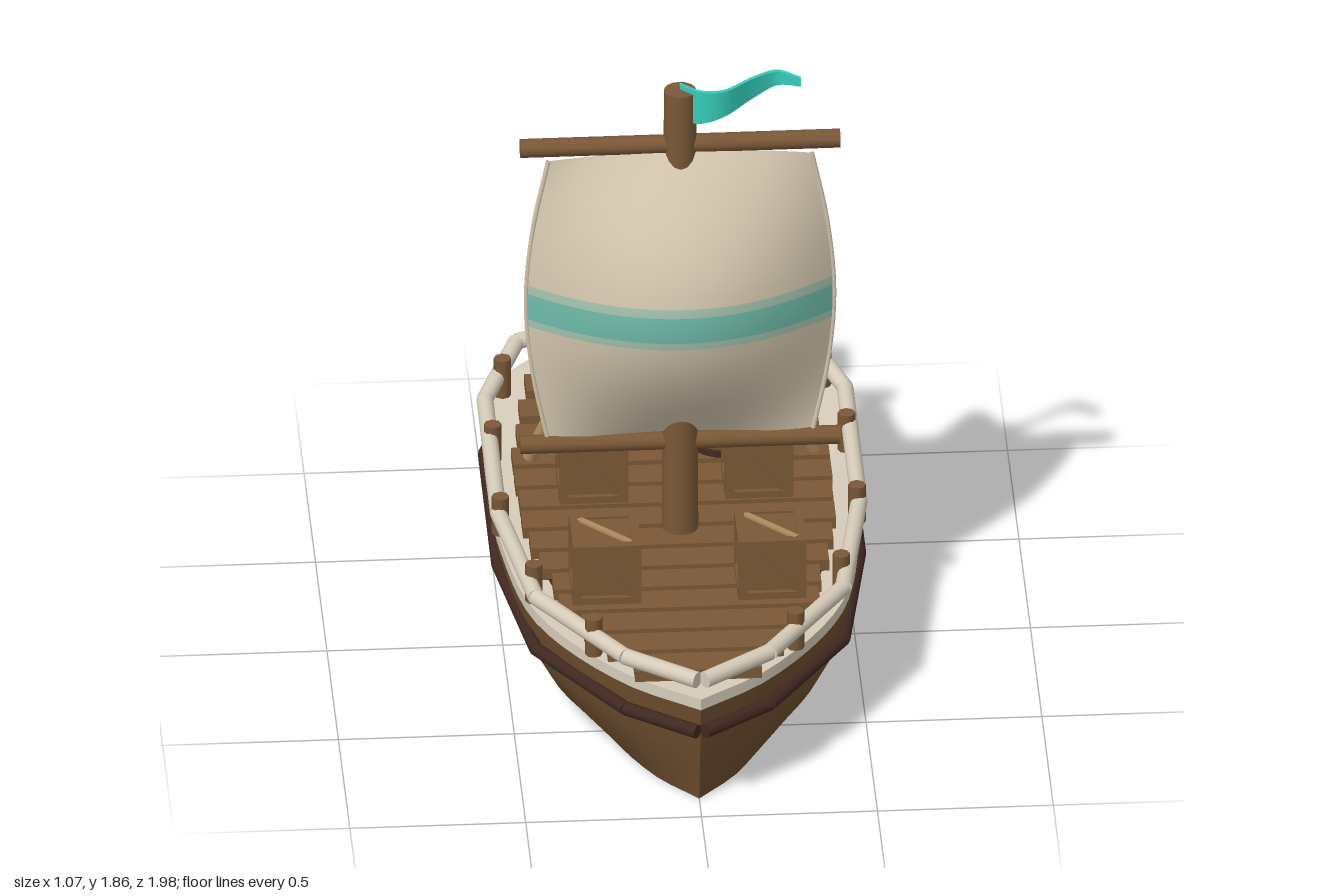
import * as THREE from 'three';
import { toCreasedNormals } from 'three/addons/utils/BufferGeometryUtils.js';

const mat = (name, color) => Object.assign(new THREE.MeshStandardMaterial({ color }), { name });
const V = (x, y, z) => new THREE.Vector3(x, y, z);

export function createModel() {
  const hullWood = mat('hull wood', 0x6e4e2e);
  const wood = mat('wood', 0x7a5836);
  const dark = mat('dark wood', 0x402820);
  const cream = mat('cream paint', 0xd6ccba);
  const cloth = mat('sail cloth', 0xd6c8b0);
  const paleTeal = mat('pale teal', 0xa4c4b0);
  const stripeTeal = mat('stripe teal', 0x70bcaa);
  const teal = mat('flag teal', 0x34cbb8);
  const rope = mat('light wood', 0xb08c60);
  const glow = mat('lamp glow', 0xe2cd78);
  for (const m of [cloth, paleTeal, stripeTeal, teal]) m.side = THREE.DoubleSide;

  const model = new THREE.Group();
  model.name = 'sailboat';
  const add = (name, geo, m, x = 0, y = 0, z = 0, parent = model) => {
    const mesh = new THREE.Mesh(geo, m);
    mesh.name = name;
    mesh.position.set(x, y, z);
    parent.add(mesh);
    return mesh;
  };
  const box = (name, m, w, h, d, x, y, z, parent) =>
    add(name, new THREE.BoxGeometry(w, h, d), m, x, y, z, parent);
  // round bar between two points
  const log = (name, m, a, b, r, parent, sides = 12, r2 = r) => {
    const mesh = add(name, new THREE.CylinderGeometry(r2, r, a.distanceTo(b), sides), m, 0, 0, 0, parent);
    mesh.position.copy(a).add(b).multiplyScalar(0.5);
    mesh.quaternion.setFromUnitVectors(V(0, 1, 0), b.clone().sub(a).normalize());
    return mesh;
  };
  // upward sweep of hull, rails and deck towards the stern
  const sheer = (h, z) => h * (1 + 0.14 * THREE.MathUtils.smoothstep(-z, 0.3, 1.0));

  // Hull: one plan outline, scaled at each level
  const half = new THREE.CatmullRomCurve3([
    [0, 0.97], [0.2, 0.81], [0.42, 0.47], [0.5, 0.05], [0.515, -0.3], [0.5, -0.6], [0.4, -0.85], [0.17, -0.95], [0, -0.965],
  ].map(([x, z]) => V(x, 0, z)), false, 'centripetal').getSpacedPoints(32);
  const ring = [...half, ...half.slice(1, -1).reverse().map(p => V(-p.x, 0, p.z))];
  const loft = (name, levels, m) => {
    const pos = [], idx = [], n = ring.length;
    levels.forEach(([sx, sz, h], j) => ring.forEach((p, i) => {
      pos.push(p.x * sx, sheer(h, p.z * sz), p.z * sz);
      if (!j) return;
      const a = (j - 1) * n + i, b = (j - 1) * n + (i + 1) % n;
      idx.push(a, b, b + n, a, b + n, a + n);
    }));
    const g = new THREE.BufferGeometry();
    g.setAttribute('position', new THREE.Float32BufferAttribute(pos, 3));
    g.setIndex(idx);
    return add(name, toCreasedNormals(g, 0.7), m);
  };
  loft('hull', [[0, 0, 0], [0.62, 0.925, 0], [0.86, 0.95, 0.105], [0.95, 0.97, 0.18], [1, 0.985, 0.26], [1.01, 1, 0.335]], hullWood);
  loft('gunwale', [[1, 0.99, 0.325], [1.02, 1.005, 0.335], [1.02, 1.005, 0.37], [0.84, 0.88, 0.37], [0, 0, 0.37]], cream);
  loft('underDeck', [[0.84, 0.88, 0.375], [0, 0, 0.375]], dark);

  // Deck planks
  const plankHalf = [0.18, 0.25, 0.31, 0.37, 0.38, 0.41, 0.43, 0.445, 0.445, 0.45, 0.45, 0.43, 0.415, 0.39];
  plankHalf.forEach((w, i) => {
    const z = 0.82 - i * 0.118;
    box('deckPlank', wood, w * 2, 0.035, 0.096, 0, sheer(0.39, z), z);
  });

  // Log rails and rubbing strakes on both sides
  const path = [[0.01, 0.975], [0.205, 0.83], [0.437, 0.48], [0.513, 0], [0.512, -0.6], [0.405, -0.865], [0.15, -0.965]];
  for (const s of [1, -1]) {
    for (let i = 0; i < path.length - 1; i++) {
      const [a, b] = [path[i], path[i + 1]];
      const at = ([x, z], h) => V(x * s, sheer(h, z), z);
      log('railLog', cream, at(a, 0.435), at(b, 0.435), 0.024);
      log('strakeLog', dark, at(a, 0.265), at(b, 0.265), 0.02);
    }
    for (const [x, z] of [[0.287, 0.695], [0.437, 0.385], [0.507, 0], [0.503, -0.4], [0.455, -0.71]])
      add('railPost', new THREE.CylinderGeometry(0.025, 0.025, 0.12, 8), wood, x * s, sheer(0.43, z), z);
  }

  // Mast, yards and stays
  log('mast', wood, V(0, 0.38, 0.06), V(0, 1.84, 0.06), 0.052, model, 16, 0.046);
  for (const y of [0.692, 1.665])
    log('yard', wood, V(-0.455, y, 0.06), V(0.455, y, 0.06), 0.027);
  for (const s of [1, -1])
    log('stay', rope, V(0, 1.59, 0.035), V(0.405 * s, 0.44, -0.3), 0.02);

  // Sail: billowed sheet cut into coloured bands
  const sailBand = (name, v0, v1, m) => {
    const g = new THREE.PlaneGeometry(2, 1, 24, 12), p = g.attributes.position;
    for (let i = 0; i < p.count; i++) {
      const u = p.getX(i), v = v0 + (v1 - v0) * (p.getY(i) + 0.5);
      const billow = Math.sin(Math.PI * v), c = 1 - u * u;
      p.setXYZ(i, u * (0.375 + 0.063 * billow), 0.70 + 0.92 * v + 0.03 * c, 0.06 + 0.21 * billow * c + 0.015 * c);
    }
    g.computeVertexNormals();
    add(name, g, m);
  };
  sailBand('sailLower', 0, 0.415, cloth);
  sailBand('sailStripeEdge', 0.415, 0.44, paleTeal);
  sailBand('sailStripe', 0.44, 0.53, stripeTeal);
  sailBand('sailStripeEdge', 0.53, 0.56, paleTeal);
  sailBand('sailUpper', 0.56, 1, cloth);
  // rolled hems down the sail sides
  for (const s of [1, -1]) {
    const pts = [0, 0.25, 0.5, 0.75, 1].map(v =>
      V(s * (0.375 + 0.063 * Math.sin(Math.PI * v)), 0.70 + 0.92 * v, 0.06));
    add('sailHem', new THREE.TubeGeometry(new THREE.CatmullRomCurve3(pts), 24, 0.007, 6), cloth);
  }

  // Waving pennant with a front, a back and closed edges
  const wave = new THREE.CatmullRomCurve3(
    [[0, 0.05], [0.06, 0.1], [0.12, 0.1], [0.21, 0.03], [0.28, -0.005], [0.345, 0.04]].map(([x, z]) => V(x, 0, z)));
  const flag = new THREE.BoxGeometry(1, 1, 0.014, 24, 3, 1), fp = flag.attributes.position;
  for (let i = 0; i < fp.count; i++) {
    const t = fp.getX(i) + 0.5, c = wave.getPoint(t), h = 0.12 - 0.095 * t;
    fp.setXYZ(i, c.x, 1.855 - h * (0.5 - fp.getY(i)), c.z + fp.getZ(i));
  }
  flag.computeVertexNormals();
  add('pennant', flag, teal);

  // Crates with edge battens and diagonal braces
  const crate = (x, z) => {
    const g = new THREE.Group();
    g.name = 'crate';
    g.position.set(x, 0.5, z);
    model.add(g);
    box('crateBody', wood, 0.165, 0.18, 0.165, 0, 0, 0, g);
    const e = 0.084;
    for (const a of [-e, e]) for (const b of [-e, e]) {
      box('crateBatten', wood, 0.026, 0.195, 0.026, a, 0, b, g);
      box('crateBatten', wood, 0.194, 0.026, 0.026, 0, a, b, g);
      box('crateBatten', wood, 0.026, 0.026, 0.194, a, b, 0, g);
    }
    box('crateBrace', rope, 0.018, 0.012, 0.2, 0, 0.091, 0, g).rotation.y = 0.78;
    for (let k = 0; k < 4; k++) {
      const side = new THREE.Group();
      side.rotation.y = k * Math.PI / 2;
      side.name = 'crateSide';
      g.add(side);
      box('crateBrace', wood, 0.018, 0.2, 0.012, 0, 0, 0.084, side).rotation.z = 0.78;
    }
  };
  for (const x of [-0.235, 0.235]) for (const z of [0.39, -0.18]) crate(x, z);

  // Cabin with overhanging roof and two rear windows
  box('cabin', wood, 0.62, 0.24, 0.39, 0, 0.49, -0.605);
  box('cabinRoof', wood, 0.7, 0.055, 0.45, 0, 0.632, -0.605);
  for (const s of [1, -1]) {
    box('windowFrame', dark, 0.1, 0.09, 0.02, 0.17 * s, 0.525, -0.805);
    box('windowPane', rope, 0.05, 0.045, 0.008, 0.17 * s, 0.525, -0.817);
    box('sternRailPost', dark, 0.04, 0.16, 0.04, 0.29 * s, 0.665, -0.838);
  }
  log('sternRail', wood, V(-0.325, 0.735, -0.842), V(0.325, 0.735, -0.842), 0.025);

  // Barrel beside the cabin
  const staves = [[0, 0], [0.083, 0], [0.1, 0.06], [0.104, 0.105], [0.1, 0.15], [0.083, 0.21], [0, 0.21]];
  add('barrel', toCreasedNormals(new THREE.LatheGeometry(staves.map(([r, y]) => new THREE.Vector2(r, y)), 20), 0.7),
    wood, 0.155, 0.4, -0.395);
  for (const y of [0.43, 0.475, 0.54, 0.585])
    add('barrelHoop', new THREE.CylinderGeometry(0.105, 0.105, 0.018, 20), dark, 0.155, y, -0.395);

  // Stern lantern on its post
  const lz = -0.857;
  box('lanternPost', wood, 0.065, 0.25, 0.065, 0, 0.7, lz);
  box('lanternBracket', dark, 0.075, 0.05, 0.075, 0, 0.59, lz);
  box('lanternBase', dark, 0.135, 0.035, 0.135, 0, 0.838, lz);
  box('lanternGlass', glow, 0.1, 0.15, 0.1, 0, 0.925, lz);
  box('lanternCap', dark, 0.138, 0.035, 0.138, 0, 1.007, lz);
  for (const a of [-0.051, 0.051]) for (const b of [-0.051, 0.051])
    box('lanternCorner', dark, 0.024, 0.15, 0.024, a, 0.925, lz + b);

  return model;
}
